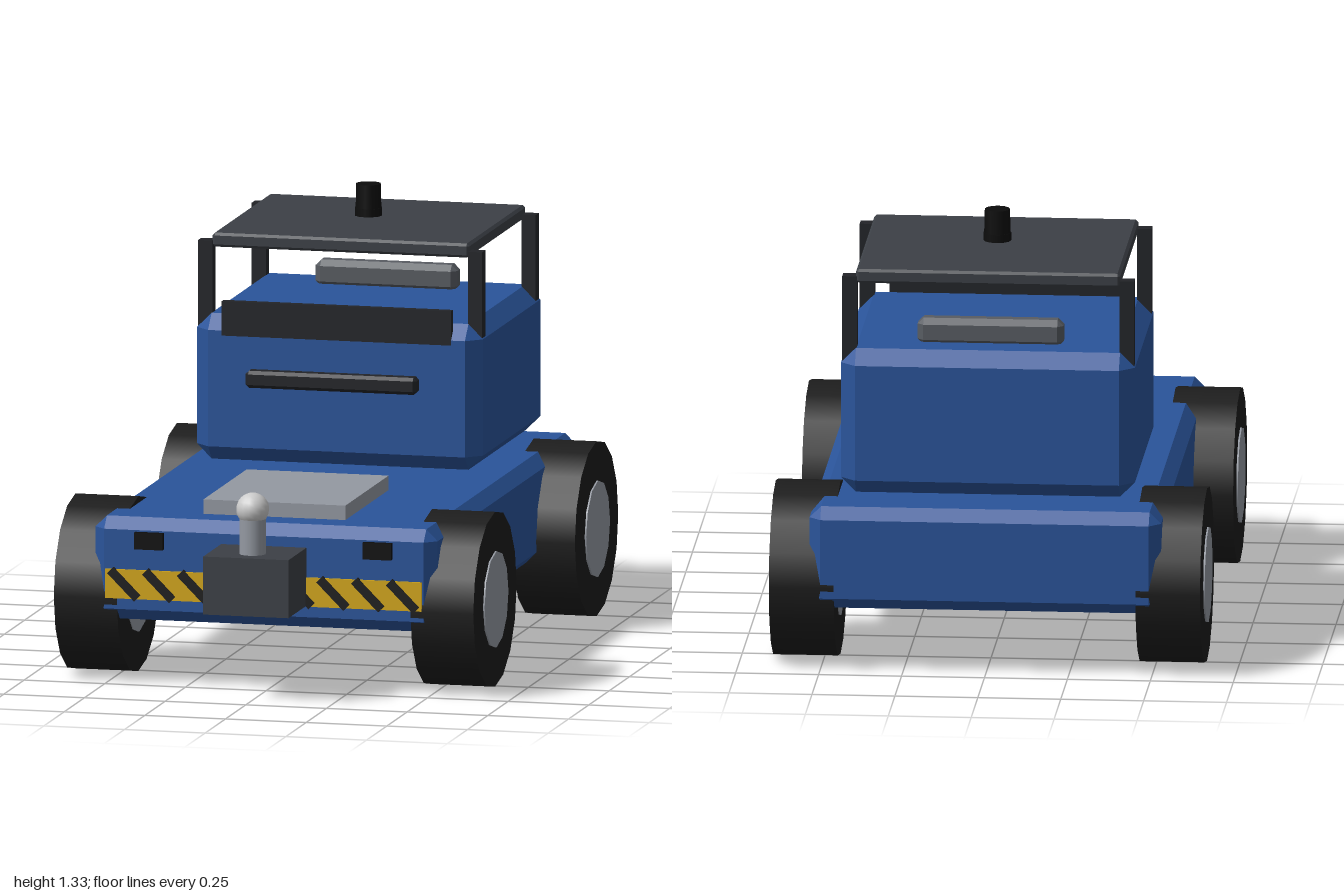
import * as THREE from 'three';
import { ConvexGeometry } from 'three/addons/geometries/ConvexGeometry.js';

const paint = (color) => new THREE.MeshStandardMaterial({ color });
const blue = paint(0x2a549a), black = paint(0x1c1c1c), charcoal = paint(0x3c4046);
const grey = paint(0x9499a2), steel = paint(0xc4c6c8), yellow = paint(0xd4a81a), jet = paint(0x0c0c0c);
const post = paint(0x222428), dimGrey = paint(0x585c62);

export function createModel() {
  const model = new THREE.Group();
  model.name = 'towTractor';

  const add = (name, geometry, material, x = 0, y = 0, z = 0) => {
    const mesh = new THREE.Mesh(geometry, material);
    mesh.name = name;
    mesh.position.set(x, y, z);
    model.add(mesh);
    return mesh;
  };

  // Box given by its lower and upper limits, with optional chamfered edges
  const block = (name, material, [x0, x1], [y0, y1], [z0, z1], c = 0) => {
    const w = x1 - x0, h = y1 - y0, d = z1 - z0;
    let geometry;
    if (c > 0) {
      const points = [];
      for (const sx of [-1, 1]) for (const sy of [-1, 1]) for (const sz of [-1, 1]) {
        const X = w / 2, Y = h / 2, Z = d / 2;
        points.push(
          new THREE.Vector3(sx * X, sy * (Y - c), sz * (Z - c)),
          new THREE.Vector3(sx * (X - c), sy * Y, sz * (Z - c)),
          new THREE.Vector3(sx * (X - c), sy * (Y - c), sz * Z));
      }
      geometry = new ConvexGeometry(points);
    } else {
      geometry = new THREE.BoxGeometry(w, h, d);
    }
    return add(name, geometry, material, (x0 + x1) / 2, (y0 + y1) / 2, (z0 + z1) / 2);
  };

  // Chassis and cab
  block('chassis', blue, [-0.53, 0.53], [0.2, 0.513], [-1, 0.778], 0.035);
  block('cab', blue, [-0.443, 0.443], [0.535, 0.98], [-0.91, -0.115], 0.045);
  block('deckPlate', grey, [-0.22, 0.22], [0.5, 0.557], [0.115, 0.648]);

  // Roof on four posts
  block('roof', charcoal, [-0.398, 0.398], [1.18, 1.223], [-0.865, -0.165], 0.008);
  for (const x of [-0.418, 0.418]) for (const z of [-0.18, -0.84]) {
    block('roofPost', post, [x - 0.022, x + 0.022], [0.93, 1.2], [z - 0.02, z + 0.02]);
  }

  // Beacon
  add('beaconBase', new THREE.CylinderGeometry(0.042, 0.042, 0.024, 12), jet, 0, 1.247, -0.51);
  add('beacon', new THREE.CylinderGeometry(0.038, 0.04, 0.075, 12), jet, 0, 1.294, -0.51);

  // Cab fittings
  block('windscreen', post, [-0.355, 0.355], [0.92, 1.025], [-0.138, -0.113]);
  block('lightBar', post, [-0.265, 0.265], [0.776, 0.828], [-0.09, -0.04], 0.01);
  block('rearBar', dimGrey, [-0.22, 0.22], [0.97, 1.053], [-0.782, -0.715], 0.018);

  // Wheels with slightly raised hubs
  for (const side of [-1, 1]) for (const z of [0.515, -0.735]) {
    const tyre = new THREE.CylinderGeometry(0.267, 0.267, 0.195, 16).rotateZ(Math.PI / 2);
    const hub = new THREE.CylinderGeometry(0.147, 0.147, 0.203, 12).rotateZ(Math.PI / 2);
    add('tyre', tyre, black, side * 0.5525, 0.267, z);
    add('hub', hub, grey, side * 0.5535, 0.267, z);
  }

  // Front lamps and striped warning board
  for (const x of [-0.354, 0.354]) {
    block('frontLamp', jet, [x - 0.044, x + 0.044], [0.422, 0.473], [0.76, 0.795]);
  }
  block('warningBoard', yellow, [-0.49, 0.49], [0.268, 0.357], [0.765, 0.784]);
  for (let i = -4; i <= 4; i++) {
    const stripe = add('warningStripe', new THREE.BoxGeometry(0.118, 0.027, 0.012), black, i * 0.108, 0.3125, 0.782);
    stripe.rotation.z = -Math.PI / 4;
  }

  // Tow hitch with ball
  block('hitchBlock', charcoal, [-0.132, 0.132], [0.27, 0.447], [0.77, 1]);
  add('hitchPin', new THREE.CylinderGeometry(0.04, 0.04, 0.12, 16), grey, 0, 0.5, 0.915);
  add('hitchBall', new THREE.SphereGeometry(0.05, 16, 12), steel, 0, 0.583, 0.915);

  return model;
}
